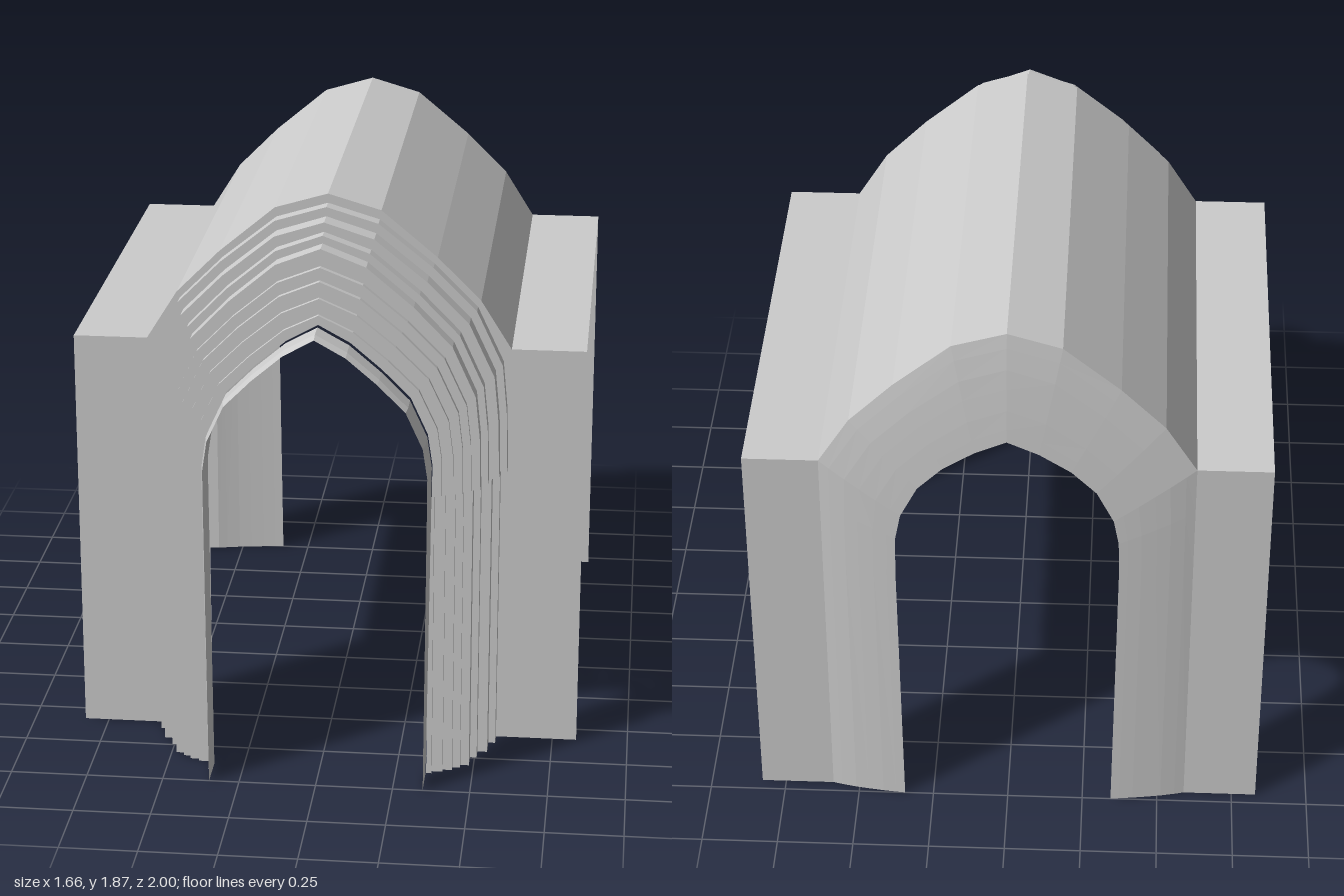
import * as THREE from 'three';

const material = new THREE.MeshStandardMaterial({ color: 0xcccccc, flatShading: true, side: THREE.DoubleSide });

// Half arches from springing line to apex, as [x, y]
const SPRING = 0.97;
const vaultCurve = [[0.59, SPRING], [0.59, 1.2], [0.59, 1.37], [0.49, 1.53], [0.35, 1.67], [0.17, 1.82], [0, 1.87]];
const outerCurve = [[0.585, SPRING], [0.58, 1.17], [0.565, 1.33], [0.48, 1.51], [0.34, 1.65], [0.165, 1.79], [0, 1.84]];
const innerCurve = [[0.36, SPRING], [0.36, 1.08], [0.345, 1.18], [0.29, 1.3], [0.2, 1.39], [0.1, 1.475], [0, 1.53]];
const backCurve = [[0.355, SPRING], [0.352, 1.1], [0.335, 1.19], [0.28, 1.3], [0.2, 1.38], [0.1, 1.445], [0, 1.49]];

// Blend two half arches; t = 0 gives a, t = 1 gives b
const blend = (a, b, t) => a.map(([x, y], i) => [x + (b[i][0] - x) * t, y + (b[i][1] - y) * t]);

// Full arch at depth z, running from +x over the apex to -x
function archRow(half, z) {
  const left = half.slice(0, -1).reverse().map(([x, y]) => [-x, y]);
  return [...half, ...left].map(([x, y]) => new THREE.Vector3(x, y, z));
}

// Add straight legs to the ground at both ends of a half arch
const withLegs = (half, footX) => [[footX, 0], ...half];

// Faceted skin across rows of equally many points
function loft(name, rows) {
  const points = [];
  for (let i = 0; i < rows.length - 1; i++) {
    for (let j = 0; j < rows[i].length - 1; j++) {
      const a = rows[i][j], b = rows[i][j + 1], c = rows[i + 1][j + 1], d = rows[i + 1][j];
      points.push(a, b, c, a, c, d);
    }
  }
  const geometry = new THREE.BufferGeometry().setFromPoints(points);
  geometry.computeVertexNormals();
  const mesh = new THREE.Mesh(geometry, material);
  mesh.name = name;
  return mesh;
}

// Flat panel from four corners
const panel = (name, corners) => {
  const [a, b, c, d] = corners.map((p) => new THREE.Vector3(...p));
  return loft(name, [[a, b], [d, c]]);
};

export function createModel() {
  const model = new THREE.Group();
  const FRONT = 0.58, BACK = -0.96, EAVE = 1.37, EDGE = 0.83;

  // Barrel vault above the eaves
  const roof = vaultCurve.slice(2);
  model.add(loft('vault', [archRow(roof, BACK), archRow(roof, FRONT)]));

  // Stepped arch orders: [half width, apex height, back z, front z]
  const orders = [
    [0.585, 1.84, 0.58, 0.63], [0.562, 1.81, 0.63, 0.70], [0.53, 1.78, 0.70, 0.745],
    [0.508, 1.755, 0.745, 0.805], [0.48, 1.70, 0.805, 0.825], [0.455, 1.66, 0.825, 0.845],
    [0.425, 1.61, 0.845, 0.86], [0.39, 1.56, 0.86, 0.875],
  ];
  const archRows = [archRow(vaultCurve, FRONT)];
  for (const [w, top, z0, z1] of orders) {
    const half = blend(innerCurve, outerCurve, (w - 0.36) / 0.225);
    const shift = top - half[6][1];
    half.forEach((p, i) => { p[1] += shift * Math.max(0, i - 1) / 5; });
    archRows.push(archRow(half, z0), archRow(half, z1));
  }
  archRows.push(archRow(innerCurve, 0.875));
  model.add(loft('steppedArch', archRows));

  // Innermost hood reaching the ground, slightly rounded along its depth
  const hoodRows = [[0.875, -0.03], [0.9, 0], [0.97, 0], [1, -0.03]].map(([z, t]) =>
    archRow(withLegs(blend(innerCurve, outerCurve, t), 0.348), z));
  model.add(loft('innerHood', hoodRows));

  // Stepped jambs below the arch, set slightly inside it
  const plan = [[0.35, 0.875]];
  for (const [w, , z0, z1] of orders.slice().reverse()) {
    const x = w - 0.023;
    plan.push([x, z1], [x, z0]);
  }
  plan.push([0.59, FRONT]);
  for (const side of [1, -1]) {
    const label = side > 0 ? 'left' : 'right';
    const order = side > 0 ? plan : plan.slice().reverse();
    const level = (y) => order.map(([x, z]) => new THREE.Vector3(side * x, y, z));
    model.add(loft(label + 'Jamb', [level(0), level(SPRING)]));

    // Wall panels beside both openings and the flat eave joining them
    const inner = side * 0.59, outer = side * EDGE;
    const lo = Math.min(inner, outer), hi = Math.max(inner, outer);
    model.add(
      panel(label + 'FrontWall', [[lo, 0, FRONT], [hi, 0, FRONT], [hi, EAVE, FRONT], [lo, EAVE, FRONT]]),
      panel(label + 'BackWall', [[hi, 0, BACK], [lo, 0, BACK], [lo, EAVE, BACK], [hi, EAVE, BACK]]),
      panel(label + 'Eave', [[lo, EAVE, FRONT], [hi, EAVE, FRONT], [hi, EAVE, BACK], [lo, EAVE, BACK]]),
    );
  }

  // Shallow bevelled surround of the back opening: [z, spread]
  const backRows = [[-1, 0], [-0.997, 0.12], [-0.992, 0.3], [-0.985, 0.5], [-0.978, 0.68], [-0.968, 0.87], [BACK, 1]]
    .map(([z, t]) => archRow(withLegs(blend(backCurve, vaultCurve, t), 0.345 + 0.245 * t), z));
  model.add(loft('backSurround', backRows));

  return model;
}
